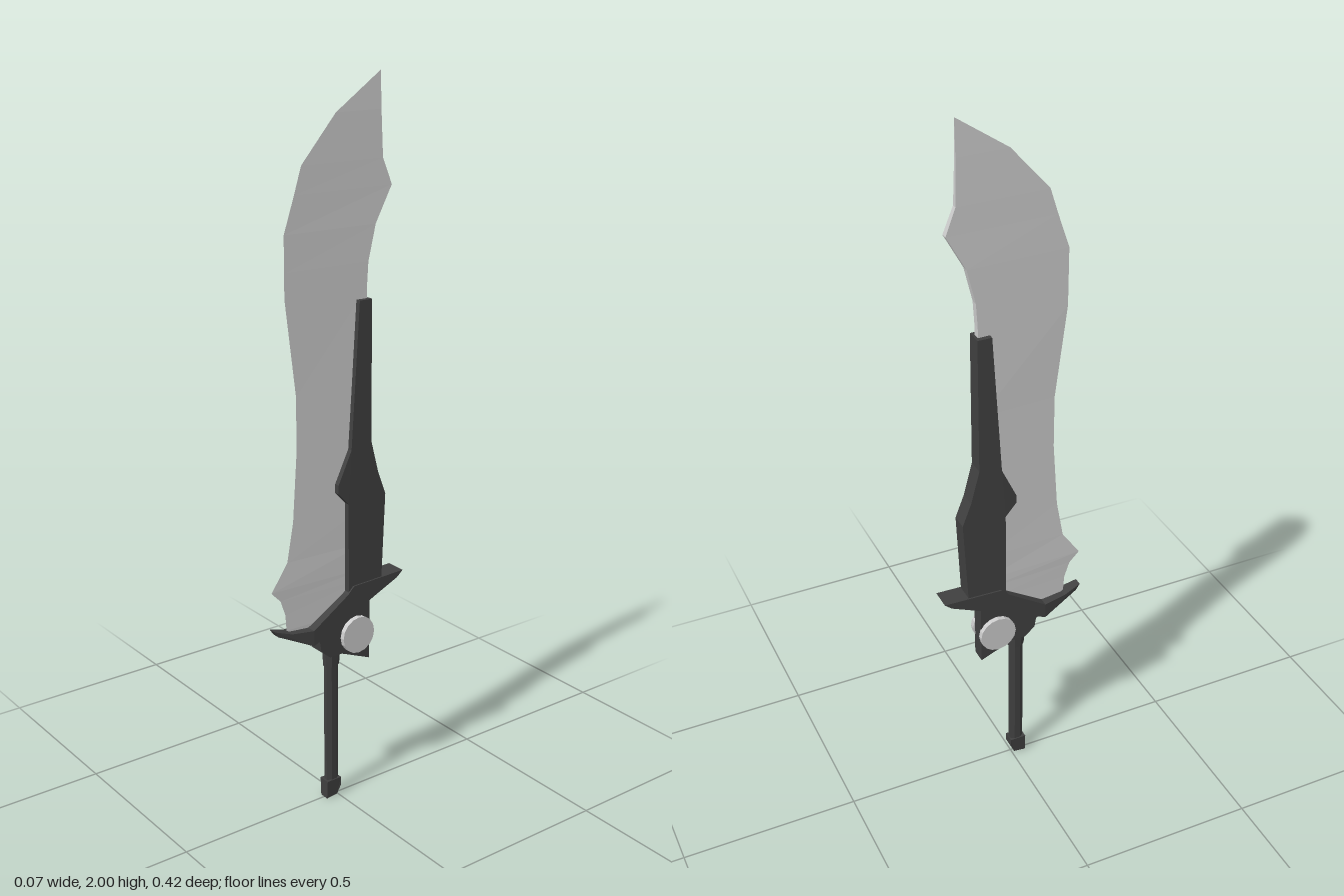
import * as THREE from 'three';

const dark = new THREE.MeshStandardMaterial({ color: 0x404040, flatShading: true });
dark.name = 'dark metal';
const light = new THREE.MeshStandardMaterial({ color: 0xcccccc, flatShading: true });
light.name = 'pale steel';

function meshFrom(name, positions, material) {
  const geometry = new THREE.BufferGeometry();
  geometry.setAttribute('position', new THREE.Float32BufferAttribute(positions, 3));
  geometry.computeVertexNormals();
  const mesh = new THREE.Mesh(geometry, material);
  mesh.name = name;
  return mesh;
}

// Solid plate from a side outline; each point is [z, y, half thickness]
function plate(name, outline, material) {
  let pts = outline;
  const flat = (list) => list.map(([z, y]) => new THREE.Vector2(z, y));
  if (THREE.ShapeUtils.isClockWise(flat(pts))) pts = [...pts].reverse();
  const out = [];
  const put = (i, side) => out.push(side * pts[i][2], pts[i][1], pts[i][0]);
  for (const [a, b, c] of THREE.ShapeUtils.triangulateShape(flat(pts), [])) {
    put(a, -1); put(b, -1); put(c, -1);
    put(a, 1); put(c, 1); put(b, 1);
  }
  for (let i = 0; i < pts.length; i++) {
    const j = (i + 1) % pts.length;
    put(i, -1); put(i, 1); put(j, 1);
    put(i, -1); put(j, 1); put(j, -1);
  }
  return meshFrom(name, out, material);
}

// Wedge-section blade; each row is [y, edge z, spine z, half thickness of spine]
function wedgeBlade(name, rows, material) {
  const rings = rows.map(([y, edge, spine, h]) => [[0, y, edge], [h, y, spine], [-h, y, spine]]);
  const out = [];
  for (let r = 0; r < rings.length - 1; r++) {
    for (let k = 0; k < 3; k++) {
      const n = (k + 1) % 3, lo = rings[r], hi = rings[r + 1];
      out.push(...lo[k], ...lo[n], ...hi[n], ...lo[k], ...hi[n], ...hi[k]);
    }
  }
  return meshFrom(name, out, material);
}

function rod(name, top, bottom, y0, y1, z, depth) {
  const geometry = new THREE.CylinderGeometry(top, bottom, y1 - y0, 8);
  geometry.rotateY(Math.PI / 8);
  geometry.scale(1, 1, depth);
  const mesh = new THREE.Mesh(geometry, dark);
  mesh.name = name;
  mesh.position.set(0, (y0 + y1) / 2, z);
  return mesh;
}

export function createModel() {
  const sword = new THREE.Group();
  sword.name = 'sword';

  // Curved blade with a hooked tip and a notch above the guard
  sword.add(wedgeBlade('blade', [
    [0.51, 0.10, -0.08, 0.012],
    [0.555, 0.165, -0.09, 0.012],
    [0.60, 0.168, -0.09, 0.012],
    [0.645, 0.183, -0.09, 0.012],
    [0.675, 0.212, -0.09, 0.012],
    [0.75, 0.16, -0.09, 0.012],
    [0.86, 0.14, -0.09, 0.012],
    [1.05, 0.127, -0.09, 0.011],
    [1.20, 0.127, -0.09, 0.011],
    [1.46, 0.16, -0.093, 0.01],
    [1.525, 0.16, -0.097, 0.01],
    [1.62, 0.16, -0.12, 0.01],
    [1.715, 0.128, -0.172, 0.009],
    [1.785, 0.106, -0.144, 0.007],
    [1.905, 0.0, -0.14, 0.004],
    [2.0, -0.14, -0.14, 0.0],
  ], light));

  // Dark casing along the spine
  sword.add(plate('spineCasing', [
    [-0.06, 1.43, 0.023], [-0.10, 1.43, 0.023], [-0.10, 1.045, 0.024],
    [-0.125, 0.95, 0.024], [-0.15, 0.885, 0.024], [-0.137, 0.62, 0.026],
    [-0.025, 0.60, 0.026], [-0.025, 0.88, 0.024], [0.007, 0.915, 0.022],
    [0.007, 0.94, 0.022], [-0.035, 1.03, 0.023],
  ], dark));

  // Swept guard, narrowing toward the cutting edge
  sword.add(plate('guard', [
    [-0.21, 0.645, 0.03], [-0.04, 0.64, 0.03], [-0.02, 0.62, 0.03],
    [0.095, 0.545, 0.03], [0.16, 0.55, 0.02], [0.212, 0.568, 0.012],
    [0.20, 0.55, 0.012], [0.095, 0.50, 0.03], [-0.02, 0.55, 0.03],
    [-0.105, 0.59, 0.03], [-0.19, 0.628, 0.03],
  ], dark));

  // Housing beneath the guard
  sword.add(plate('housing', [
    [0.095, 0.515, 0.022], [0.07, 0.50, 0.022], [0.065, 0.47, 0.022],
    [0.035, 0.445, 0.022], [-0.005, 0.445, 0.022], [-0.10, 0.405, 0.022],
    [-0.10, 0.60, 0.022], [-0.02, 0.60, 0.022],
  ], dark));

  // Round bosses on both sides
  for (const side of [-1, 1]) {
    const geometry = new THREE.CylinderGeometry(0.053, 0.053, 0.016, 16);
    geometry.rotateZ(Math.PI / 2);
    const boss = new THREE.Mesh(geometry, light);
    boss.name = side > 0 ? 'leftBoss' : 'rightBoss';
    boss.position.set(side * 0.028, 0.493, -0.053);
    sword.add(boss);
  }

  // Grip, collar and slanted pommel
  sword.add(rod('grip', 0.015, 0.015, 0.04, 0.43, 0.016, 1.45));
  sword.add(rod('collar', 0.02, 0.018, 0.41, 0.455, 0.016, 1.35));
  sword.add(plate('pommel', [
    [0.041, 0.055, 0.017], [0.041, 0.0, 0.014], [0.006, 0.004, 0.014],
    [-0.006, 0.03, 0.017], [-0.006, 0.055, 0.017],
  ], dark));

  return sword;
}
